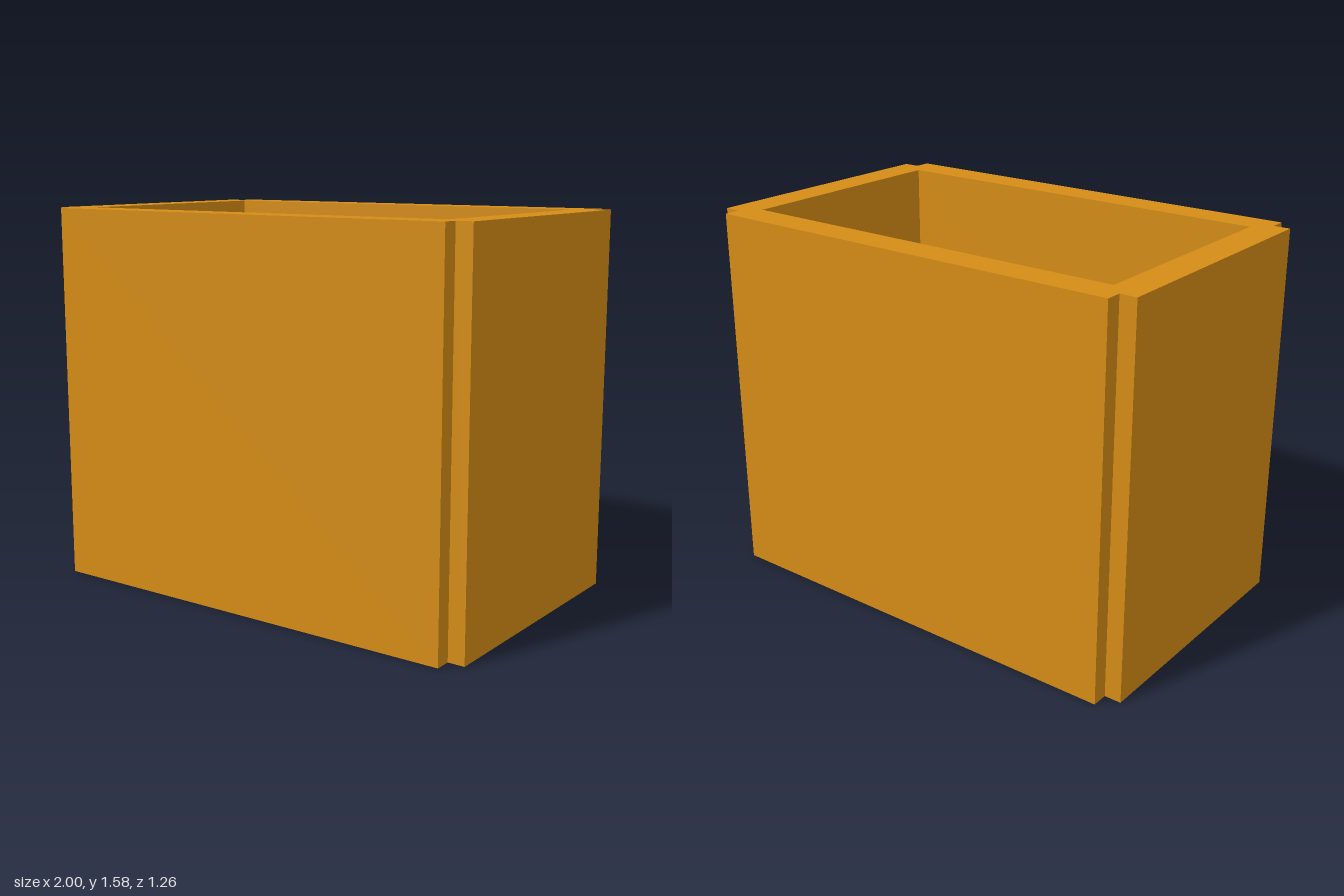
import * as THREE from 'three';

const HEIGHT = 1.583;
const OUTER = { x: 1.0, z: 0.628 };  // half extents of the walls
const NOTCH = { x: 0.93, z: 0.56 };  // where the corner notches begin
const INNER = { x: 0.862, z: 0.49 }; // half extents of the opening

export function createModel() {
  const group = new THREE.Group();
  group.name = 'openBox';

  // Outline: one notched corner, repeated counter-clockwise in all quadrants
  const corner = [[OUTER.x, NOTCH.z], [NOTCH.x, NOTCH.z], [NOTCH.x, OUTER.z]];
  const outline = [];
  for (const [sx, sz] of [[1, 1], [-1, 1], [-1, -1], [1, -1]]) {
    const points = corner.map(([x, z]) => new THREE.Vector2(x * sx, z * sz));
    outline.push(...(sx * sz > 0 ? points : points.reverse()));
  }
  const shape = new THREE.Shape(outline);

  // Rectangular opening right through
  const { x, z } = INNER;
  shape.holes.push(new THREE.Path(
    [[-x, -z], [-x, z], [x, z], [x, -z]].map(([px, pz]) => new THREE.Vector2(px, pz))
  ));

  // Walls, extruded upwards
  const geometry = new THREE.ExtrudeGeometry(shape, { depth: HEIGHT, bevelEnabled: false });
  geometry.rotateX(-Math.PI / 2);
  const walls = new THREE.Mesh(geometry, new THREE.MeshStandardMaterial({ color: 0xd48c16 }));
  walls.name = 'walls';
  group.add(walls);

  return group;
}
